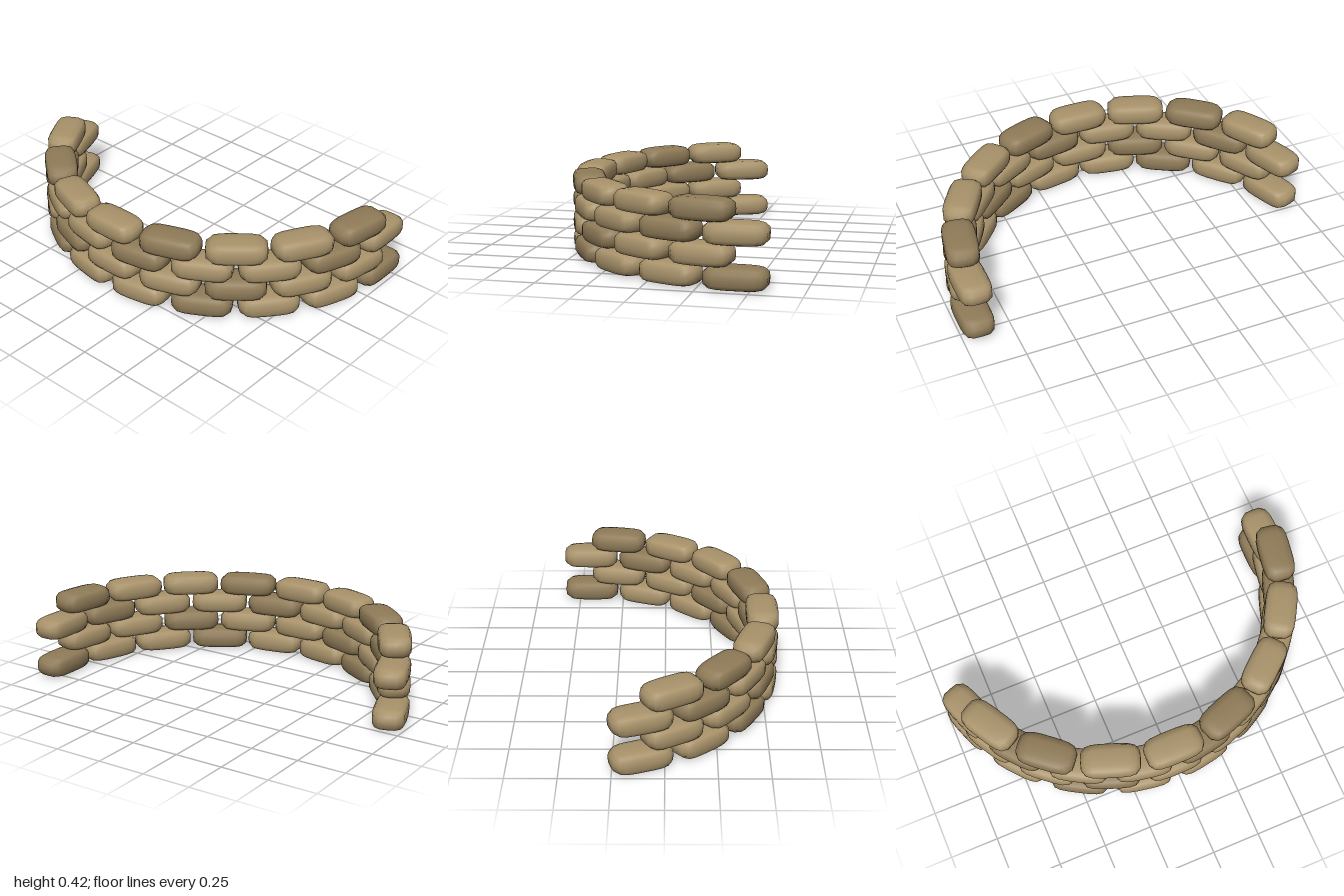
import * as THREE from 'three';
import { mergeVertices } from 'three/addons/utils/BufferGeometryUtils.js';

// Plump bag: a subdivided box pulled onto a superellipsoid
function bagGeometry(halfLength, halfHeight, halfDepth) {
  const box = new THREE.BoxGeometry(2, 2, 2, 6, 4, 4);
  box.deleteAttribute('uv');
  box.deleteAttribute('normal');
  const geo = mergeVertices(box);
  const pos = geo.attributes.position;
  const v = new THREE.Vector3();
  const n = 4;
  for (let i = 0; i < pos.count; i++) {
    v.fromBufferAttribute(pos, i);
    const len = (Math.abs(v.x) ** n + Math.abs(v.y) ** n + Math.abs(v.z) ** n) ** (1 / n);
    pos.setXYZ(i, v.x / len * halfLength, v.y / len * halfHeight, v.z / len * halfDepth);
  }
  geo.computeVertexNormals();
  return geo;
}

export function createModel() {
  const wall = new THREE.Group();
  wall.name = 'sandbagWall';

  const bag = bagGeometry(0.152, 0.055, 0.083);
  const light = new THREE.MeshStandardMaterial({ color: 0xa8926a });
  const dark = new THREE.MeshStandardMaterial({ color: 0x8f7b58 });

  // Arc that the bags follow
  const radius = 0.93, centreX = -0.018, centreZ = -0.432;
  const step = 20;
  const darkOffset = [2, 2, 1, 1];

  // Four courses, alternately nine and eight bags, in running bond
  for (let row = 0; row < 4; row++) {
    const course = new THREE.Group();
    course.name = `course${row + 1}`;
    const count = row % 2 ? 8 : 9;
    const start = row % 2 ? -60 : -70;
    for (let k = 0; k < count; k++) {
      const angle = THREE.MathUtils.degToRad(start + step * k);
      const mesh = new THREE.Mesh(bag, k % 3 === darkOffset[row] ? dark : light);
      mesh.name = 'sandbag';
      mesh.position.set(
        centreX + radius * Math.sin(angle),
        0.059 + row * 0.1037,
        centreZ + radius * Math.cos(angle)
      );
      mesh.rotation.y = angle;
      course.add(mesh);
    }
    wall.add(course);
  }
  return wall;
}
